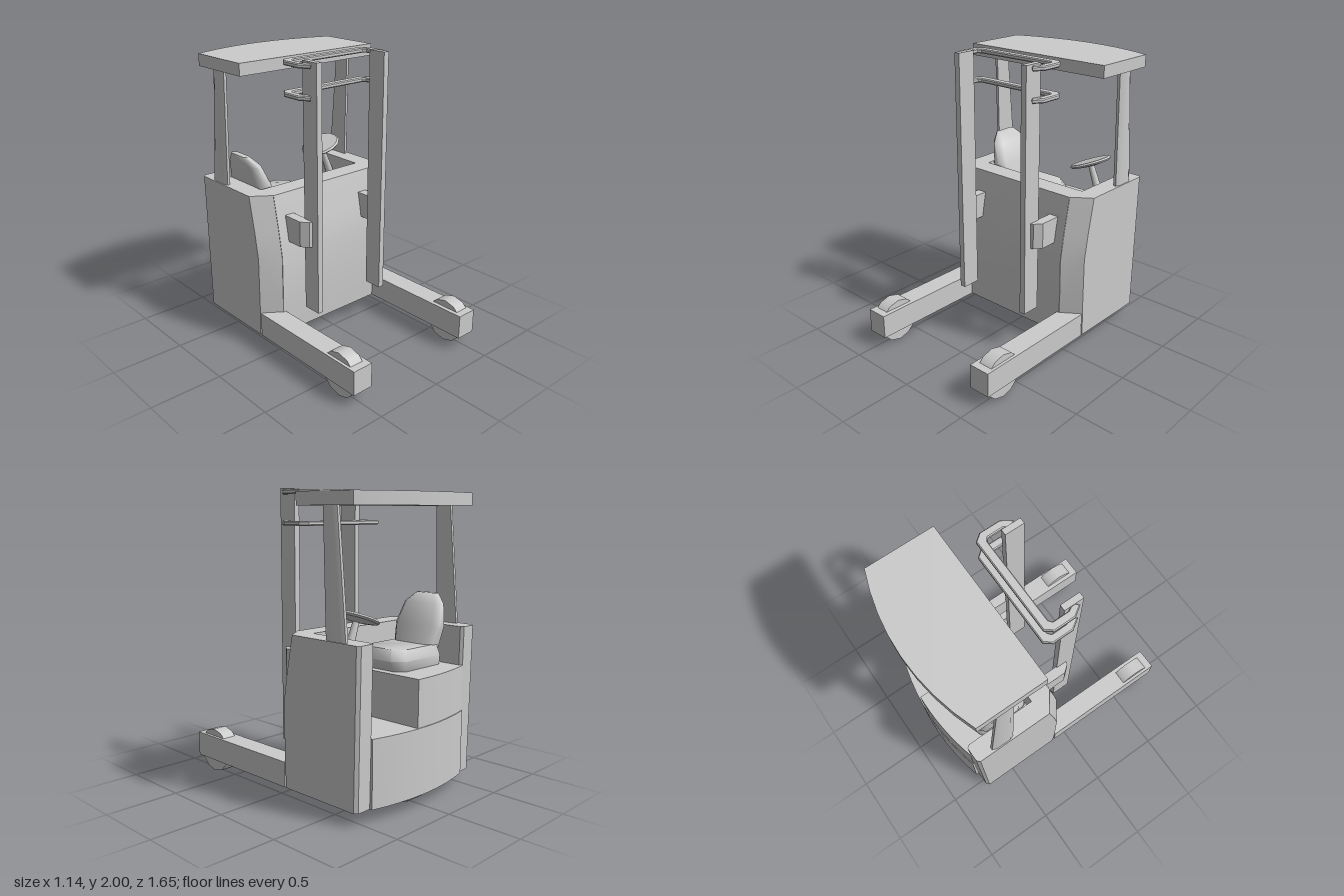
import * as THREE from 'three';
import { toCreasedNormals } from 'three/addons/utils/BufferGeometryUtils.js';

const grey = new THREE.MeshStandardMaterial({ color: 0xcccccc });

function add(parent, name, geometry) {
  const mesh = new THREE.Mesh(geometry, grey);
  mesh.name = name;
  parent.add(mesh);
  return mesh;
}

// Closed solid through convex rings of [x, y, z] points, always wound outwards
function loft(rings, crease = 0.6) {
  const n = rings[0].length, tris = [];
  for (let r = 0; r < rings.length - 1; r++) {
    for (let i = 0; i < n; i++) {
      const j = (i + 1) % n;
      const a = rings[r][i], b = rings[r][j], c = rings[r + 1][j], d = rings[r + 1][i];
      tris.push([a, b, c], [a, c, d]);
    }
  }
  const first = rings[0], last = rings[rings.length - 1];
  for (let i = 1; i < n - 1; i++) {
    tris.push([first[0], first[i + 1], first[i]], [last[0], last[i], last[i + 1]]);
  }
  let volume = 0;
  const v = (p) => new THREE.Vector3(...p);
  for (const [a, b, c] of tris) volume += v(a).dot(v(b).cross(v(c)));
  if (volume < 0) tris.forEach((t) => t.reverse());
  const g = new THREE.BufferGeometry();
  g.setAttribute('position', new THREE.Float32BufferAttribute(tris.flat(2), 3));
  return toCreasedNormals(g, crease);
}

// Upright prism from a plan of [x, z] points
const prism = (plan, y0, y1) => loft([y0, y1].map((y) => plan.map(([x, z]) => [x, y, z])));

function box(x0, x1, y0, y1, z0, z1) {
  return new THREE.BoxGeometry(x1 - x0, y1 - y0, z1 - z0)
    .translate((x0 + x1) / 2, (y0 + y1) / 2, (z0 + z1) / 2);
}

// Rectangular ring with cut corners at one height
function cutRing(x0, x1, y, z0, z1, c) {
  return [[x0 + c, y, z0], [x1 - c, y, z0], [x1, y, z0 + c], [x1, y, z1 - c],
    [x1 - c, y, z1], [x0 + c, y, z1], [x0, y, z1 - c], [x0, y, z0 + c]];
}

// Plan with a straight front and a bowed rear
function bowedPlan(x0, x1, front, rear, steps = 8) {
  const plan = [[x1, front], [x0, front]];
  for (let i = 0; i <= steps; i++) {
    const x = x0 + ((x1 - x0) * i) / steps;
    plan.push([x, rear(x)]);
  }
  return plan;
}

function wheel(parent, name, x, z, width) {
  const g = new THREE.CylinderGeometry(0.155, 0.155, width, 12).rotateZ(Math.PI / 2);
  add(parent, name, g).position.set(x, 0.155, z);
}

export function createModel() {
  const model = new THREE.Group();
  model.name = 'reachTruck';
  const bodyRear = (x) => -0.822 + 0.3 * x * x;
  const roofRear = (x) => -0.822 + 0.34 * x * x;

  // Front face position at each height of the body
  const levels = [[0.09, -0.03], [0.3, -0.022], [0.67, -0.02], [0.85, -0.05], [1.1, -0.1]];

  // Chassis: front bulkhead, rear deck and seat box
  const body = new THREE.Group();
  body.name = 'body';
  model.add(body);
  add(body, 'frontBulkhead', loft(levels.map(([y, z]) =>
    [[-0.44, y, z], [0.44, y, z], [0.44, y, -0.245], [-0.44, y, -0.245]])));
  add(body, 'rearDeck', prism(bowedPlan(-0.45, 0.45, -0.22, bodyRear), 0.09, 0.53));
  add(body, 'seatBox', prism(bowedPlan(-0.45, 0.09, -0.24, (x) => bodyRear(x) + 0.006), 0.52, 0.84));
  wheel(model, 'driveWheel', 0, -0.64, 0.16);

  for (const s of [1, -1]) {
    const side = new THREE.Group();
    side.name = s > 0 ? 'leftSide' : 'rightSide';
    model.add(side);

    // Side wall with a chamfered front edge
    add(side, 'sideWall', loft(levels.map(([y, z]) => {
      const rear = -0.74 - 0.017 * y;
      return [[0.435, z], [0.57, z - 0.095], [0.57, rear + 0.02], [0.55, rear], [0.45, rear], [0.435, rear + 0.02]]
        .map(([x, pz]) => [s * x, y, pz]);
    })));

    // Support leg and load wheel
    add(side, 'supportLeg', box(s * 0.495 - 0.075, s * 0.495 + 0.075, 0.09, 0.26, -0.11, 0.83));
    wheel(side, 'loadWheel', s * 0.5, 0.67, 0.1);

    // Mast rail and the bracket that joins it to the body
    add(side, 'mastRail', box(s * 0.288 - 0.021, s * 0.288 + 0.021, 0.29, 2, 0.06, 0.195));
    add(side, 'mastBracket', prism([[0.3, 0.14], [0.33, 0.135], [0.37, 0.085], [0.37, -0.08], [0.3, -0.08]]
      .map(([x, z]) => [s * x, z]), 0.77, 0.95));

    // Tapered roof pillar
    add(side, 'roofPillar', loft([[1.0, -0.475, -0.645], [1.89, -0.45, -0.565]].map(([y, front, rear]) =>
      [[0.53, front], [0.55, front], [0.562, front - 0.03], [0.562, rear + 0.03], [0.55, rear], [0.53, rear]]
        .map(([x, z]) => [s * x, y, z]))));
  }

  // Bent cross bars that tie the mast rails together
  const outer = [[0.325, 0.15], [0.365, 0.09], [0.365, -0.05], [0.33, -0.095]];
  const inner = [[0.3, -0.05], [0.325, -0.03], [0.325, 0.08], [0.3, 0.125]];
  const half = [...outer, ...inner];
  const mirror = (pts) => pts.map(([x, z]) => [-x, z]).reverse();
  const outline = [...outer, ...mirror(half).slice(4), ...mirror(inner), ...inner]
    .map(([x, z]) => new THREE.Vector2(x, z));
  for (const y of [1.975, 1.775]) {
    const g = new THREE.ExtrudeGeometry(new THREE.Shape(outline), {
      depth: 0.016, bevelThickness: 0.007, bevelSize: 0.006, bevelSegments: 1,
    });
    add(model, 'mastCrossBar', g.translate(0, 0, -0.008).rotateX(Math.PI / 2)).position.y = y;
  }

  // Overhead guard roof
  add(model, 'roof', prism(bowedPlan(-0.57, 0.57, -0.24, roofRear), 1.887, 1.97));

  // Side-facing seat
  const seat = new THREE.Group();
  seat.name = 'seat';
  model.add(seat);
  add(seat, 'seatCushion', loft([
    cutRing(-0.42, 0.03, 0.83, -0.62, -0.28, 0.05),
    cutRing(-0.42, 0.07, 0.91, -0.64, -0.26, 0.07),
    cutRing(-0.42, 0.03, 0.98, -0.61, -0.29, 0.07),
  ], 1));
  add(seat, 'seatBackrest', loft([
    cutRing(-0.41, -0.24, 0.92, -0.6, -0.3, 0.04),
    cutRing(-0.43, -0.31, 1.1, -0.64, -0.26, 0.04),
    cutRing(-0.46, -0.37, 1.24, -0.61, -0.29, 0.04),
    cutRing(-0.475, -0.43, 1.305, -0.54, -0.36, 0.02),
  ], 1));

  // Tilted steering wheel on its column
  const steering = new THREE.Group();
  steering.name = 'steering';
  steering.position.set(0.31, 1.212, -0.5);
  steering.rotation.z = 0.37;
  model.add(steering);
  const disc = [[0, -0.03], [0.05, -0.025], [0.135, -0.012], [0.147, 0], [0.135, 0.012], [0, 0.008]];
  add(steering, 'steeringWheel', toCreasedNormals(
    new THREE.LatheGeometry(disc.map(([x, y]) => new THREE.Vector2(x, y)), 14), 0.6));
  add(steering, 'steeringColumn', new THREE.CylinderGeometry(0.02, 0.035, 0.34, 8)).position.y = -0.18;

  return model;
}
